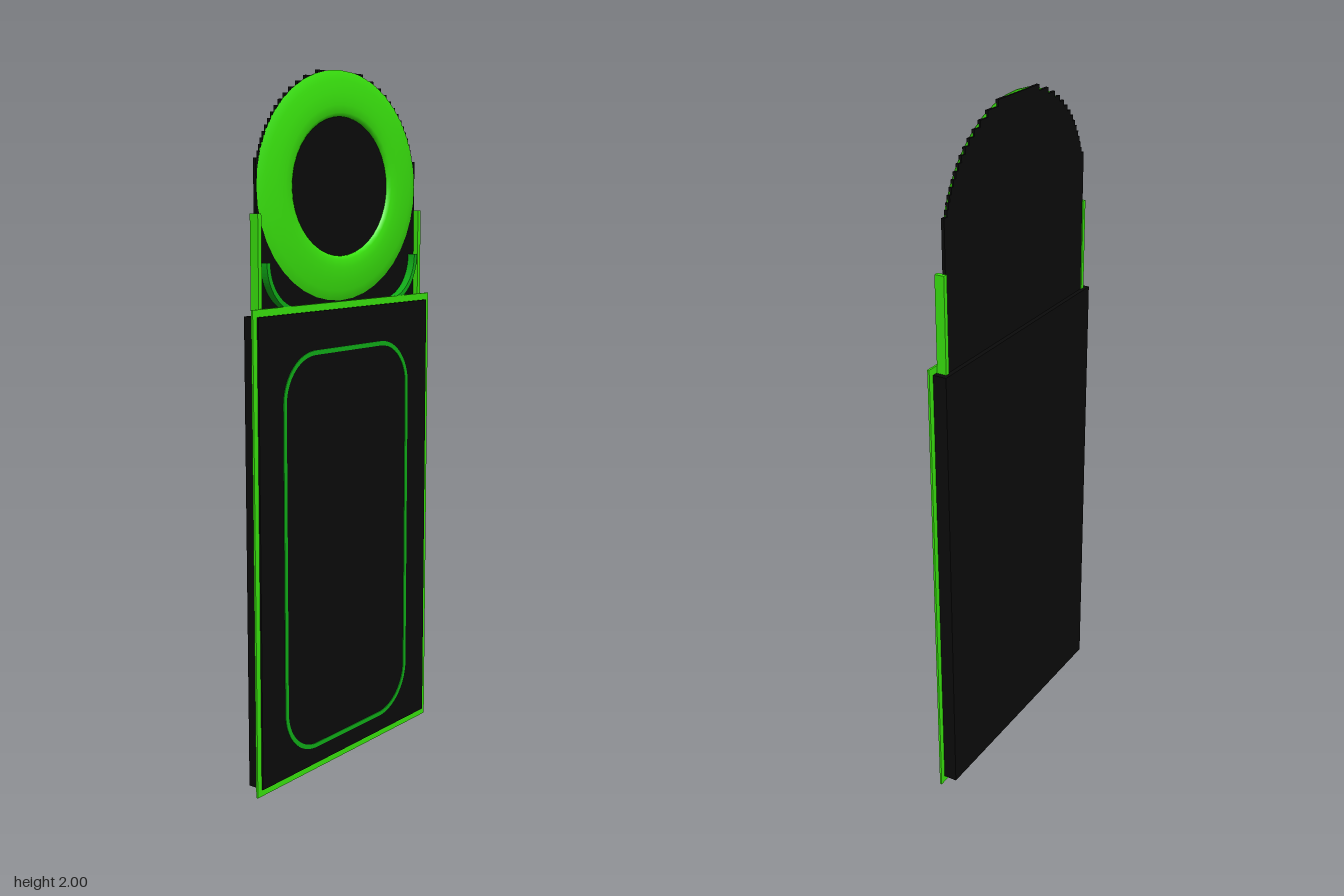
import * as THREE from 'three';

const mat = (color) => new THREE.MeshStandardMaterial({ color });

export function createModel() {
  const model = new THREE.Group();
  const black = mat(0x0b0b0b), bright = mat(0x3ae60e), green = mat(0x10b018);

  const add = (name, geometry, material) => {
    const mesh = new THREE.Mesh(geometry, material);
    mesh.name = name;
    model.add(mesh);
    return mesh;
  };
  // box given by its limits on each axis
  const box = (name, x0, x1, y0, y1, z0, z1, material) => {
    const g = new THREE.BoxGeometry(x1 - x0, y1 - y0, z1 - z0);
    g.translate((x0 + x1) / 2, (y0 + y1) / 2, (z0 + z1) / 2);
    return add(name, g, material);
  };
  // outline drawn in the side plane, extruded along x
  const slab = (name, shape, x0, x1, material) => {
    const g = new THREE.ExtrudeGeometry(shape, { depth: x1 - x0, bevelEnabled: false, curveSegments: 12 });
    g.rotateY(Math.PI / 2).translate(x0, 0, 0);
    return add(name, g, material);
  };
  const roundedRect = (path, w, y0, y1, r) => {
    path.moveTo(-w + r, y0);
    path.absarc(w - r, y0 + r, r, -Math.PI / 2, 0);
    path.absarc(w - r, y1 - r, r, 0, Math.PI / 2);
    path.absarc(-w + r, y1 - r, r, Math.PI / 2, Math.PI);
    path.absarc(-w + r, y0 + r, r, Math.PI, Math.PI * 1.5);
    path.closePath();
    return path;
  };

  // main body and the thin edge plate that shows around it
  box('body', -0.026, 0.025, 0.02, 1.34, -0.39, 0.39, black);
  box('edgeTrim', 0.014, 0.02, 0, 1.36, -0.407, 0.407, bright);

  // rounded outline on the body face
  const outline = roundedRect(new THREE.Shape(), 0.292, 0.07, 1.232, 0.14);
  outline.holes.push(roundedRect(new THREE.Path(), 0.279, 0.083, 1.219, 0.127));
  slab('panelOutline', outline, 0.02, 0.027, green);

  // back plate: straight sides, then an arch in steps
  const cy = 1.68, ry = 0.32, rz = 0.36;
  const arch = new THREE.Shape();
  const steps = 14, yStart = 1.755, dy = (1.995 - yStart) / steps;
  const edge = [[0.362, 1.34], [0.362, yStart]];
  for (let i = 0; i < steps; i++) {
    const y = yStart + i * dy;
    const w = rz * Math.sqrt(1 - ((y + dy * 0.5 - cy) / ry) ** 2);
    edge.push([w, y], [w, y + dy]);
  }
  const mirrored = edge.map(([z, y]) => [-z, y]).reverse();
  arch.setFromPoints([...edge, ...mirrored].map(([z, y]) => new THREE.Vector2(z, y)));
  slab('backPlate', arch, -0.013, -0.004, black);

  // domed oval ring
  const profile = [
    [0.218, -0.008], [0.36, -0.008], [0.36, -0.004], [0.33, 0.002], [0.29, 0.007],
    [0.255, 0.008], [0.23, 0.006], [0.218, 0], [0.218, -0.008],
  ].map(([r, h]) => new THREE.Vector2(r, h));
  const ring = new THREE.LatheGeometry(profile, 40);
  ring.rotateZ(-Math.PI / 2).scale(1, ry / rz, 1).translate(0, cy, 0);
  add('ring', ring, bright);

  // side posts and curved corner brackets
  for (const s of [1, -1]) {
    const z = 0.367 * s;
    box('sidePost', -0.016, 0.012, 1.34, 1.61, z - 0.007, z + 0.007, bright);

    const a0 = s > 0 ? -Math.PI / 2 : Math.PI, a1 = s > 0 ? 0 : Math.PI * 1.5;
    const arc = new THREE.Shape();
    arc.absarc(0.207 * s, 1.48, 0.14, a0, a1, false);
    arc.absarc(0.207 * s, 1.48, 0.126, a1, a0, true);
    arc.closePath();
    slab('cornerBracket', arc, -0.004, 0.019, green);
  }
  return model;
}
